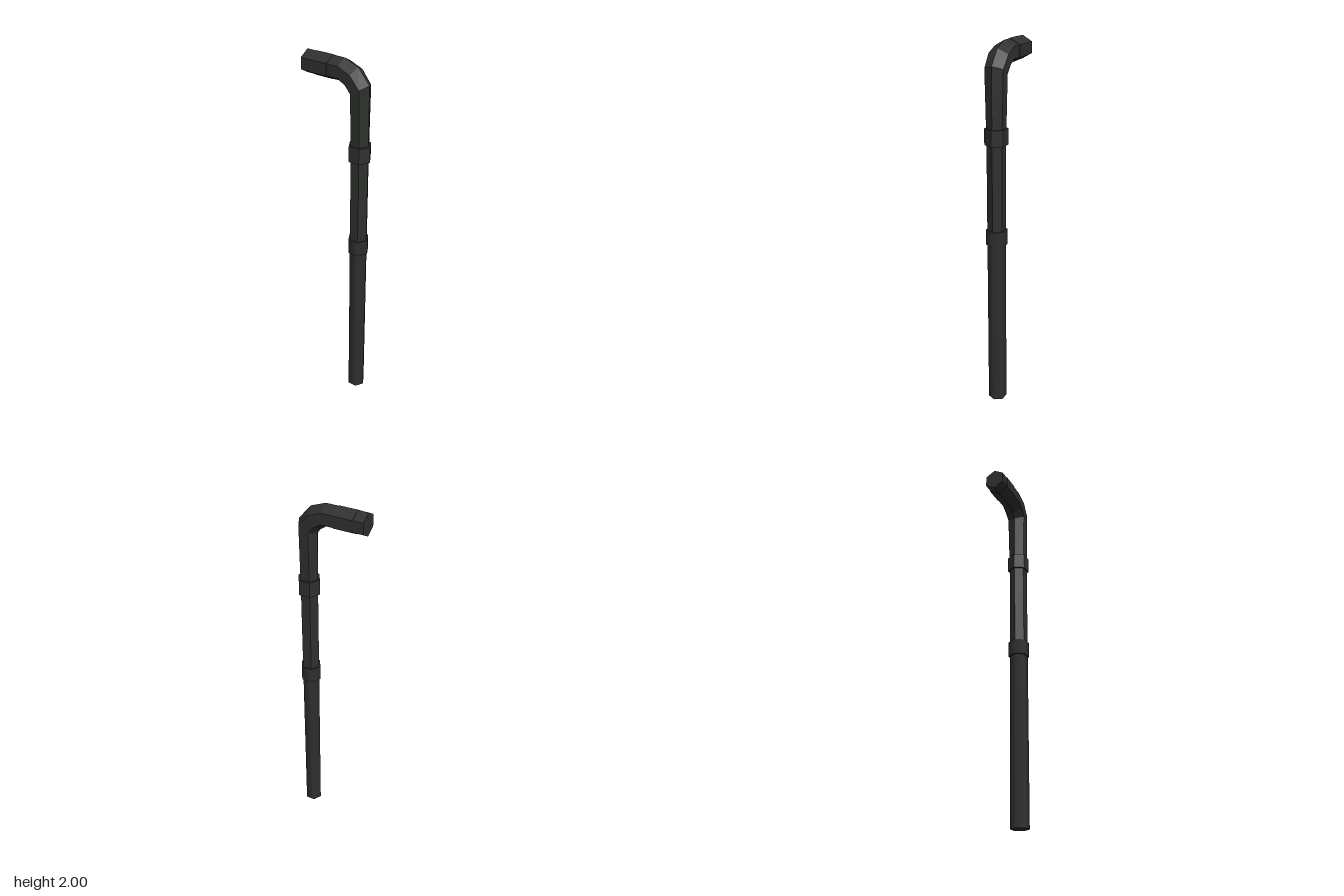
import * as THREE from 'three';

// Hexagonal tube through rings [z, y, tilt in degrees, radius], ordered bottom to tip.
// Each hexagon has a corner facing outward (front when upright, up along the handle).
function hexTube(name, rings, { flat = true, widen = 1 } = {}) {
  const n = rings.length - 1;
  const geo = new THREE.CylinderGeometry(1, 1, 1, 6, n);
  const p = geo.attributes.position;
  for (let i = 0; i < p.count; i++) {
    const [z, y, tilt, r] = rings[Math.round((p.getY(i) + 0.5) * n)];
    const t = THREE.MathUtils.degToRad(tilt);
    const out = p.getZ(i) * r;
    p.setXYZ(i, p.getX(i) * r * widen, y + out * Math.sin(t), z + out * Math.cos(t));
  }
  if (flat) geo.computeVertexNormals();
  const mesh = new THREE.Mesh(geo, new THREE.MeshStandardMaterial({ color: 0x2e312e, flatShading: flat }));
  mesh.name = name;
  return mesh;
}

export function createModel() {
  const group = new THREE.Group();
  group.name = 'walkingCane';
  const Z = 0.128; // shaft axis
  const H = 1.938; // handle axis

  group.add(
    // smooth lower shaft and its collar
    hexTube('lowerShaft', [[Z, 0, 0, 0.05], [Z, 0.96, 0, 0.05]], { flat: false }),
    hexTube('middleCollar', [[Z, 0.945, 0, 0.058], [Z, 1.03, 0, 0.058]], { flat: false }),
    // faceted upper shaft and its collar
    hexTube('upperShaft', [[Z, 1.0, 0, 0.05], [Z, 1.55, 0, 0.05]]),
    hexTube('upperCollar', [[Z, 1.49, 0, 0.061], [Z, 1.575, 0, 0.061]]),
    // flaring neck, bend and horizontal handle
    hexTube('bentHandle', [
      [Z, 1.54, 0, 0.05],
      [0.127, 1.86, 30, 0.058],
      [0.086, 1.912, 65, 0.061],
      [0.03, H, 90, 0.060],
      [-0.19, H, 90, 0.060],
    ], { widen: 1.02 }),
    hexTube('handleBand', [[-0.035, H, 90, 0.062], [-0.135, H, 90, 0.062]], { widen: 1.04 }),
  );
  return group;
}
